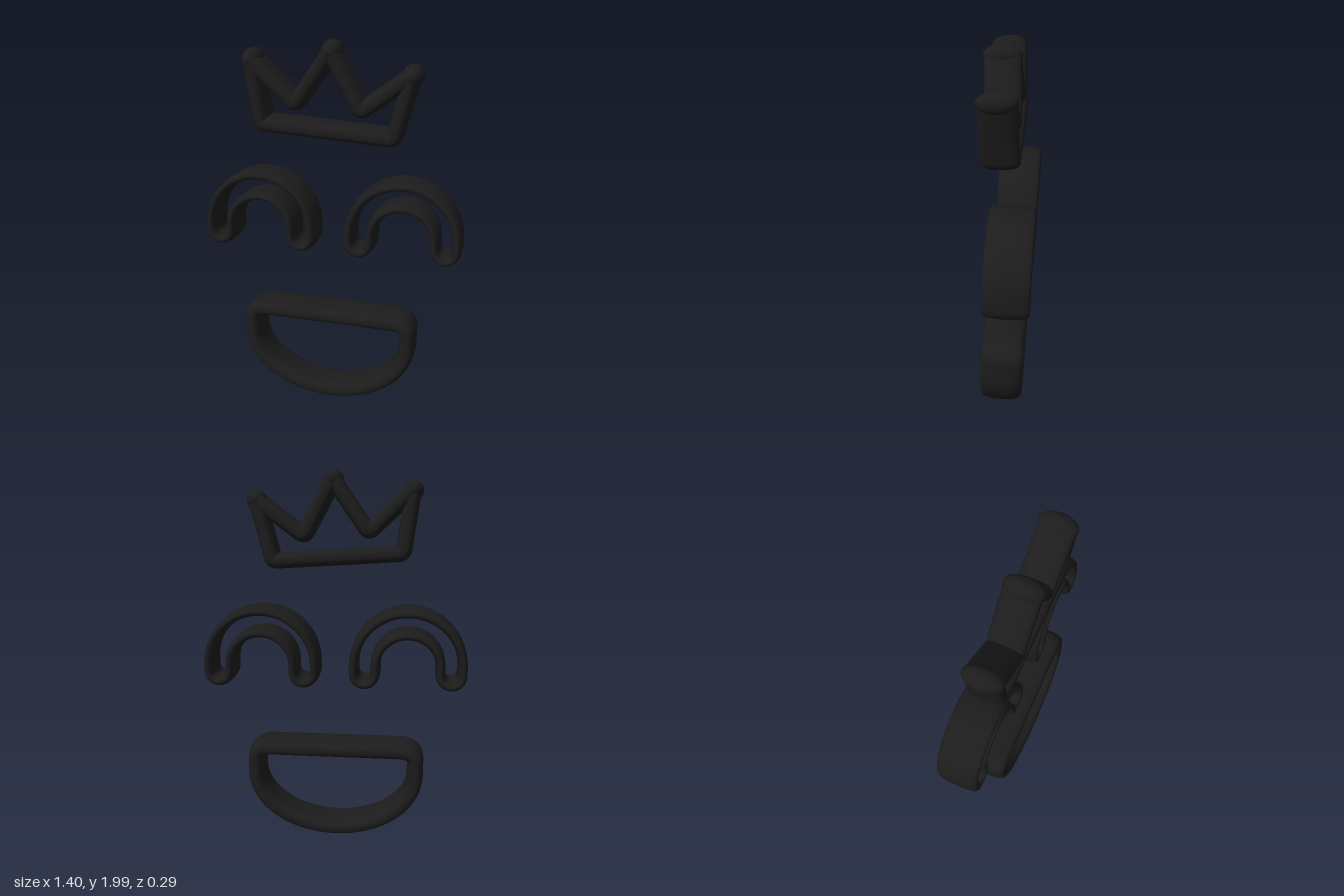
import * as THREE from 'three';

const black = new THREE.MeshStandardMaterial({ color: 0x1c1c1c });
black.name = 'matte black';

// Sweeps a rounded, deep cross-section along a closed path in the xy plane
function bandGeometry(path, halfThick, halfDepth, power = 2.7) {
  const pts = path.getPoints(20).filter((p, i, a) => i === 0 || p.distanceTo(a[i - 1]) > 1e-4);
  if (pts[0].distanceTo(pts[pts.length - 1]) < 1e-4) pts.pop();
  const n = pts.length, sides = 28, position = [], index = [];
  const round = (v) => Math.sign(v) * Math.abs(v) ** (2 / power);
  for (let i = 0; i < n; i++) {
    const before = pts[i].clone().sub(pts[(i + n - 1) % n]).normalize();
    const after = pts[(i + 1) % n].clone().sub(pts[i]).normalize();
    const t = before.add(after).normalize();
    for (let j = 0; j < sides; j++) {
      const a = (j / sides) * Math.PI * 2;
      const out = halfThick * round(Math.cos(a));
      position.push(pts[i].x + t.y * out, pts[i].y - t.x * out, halfDepth * round(Math.sin(a)));
      const k = (j + 1) % sides, next = (i + 1) % n;
      const p = i * sides + j, q = next * sides + j, r = next * sides + k, s = i * sides + k;
      index.push(p, q, r, p, r, s);
    }
  }
  const geometry = new THREE.BufferGeometry();
  geometry.setAttribute('position', new THREE.Float32BufferAttribute(position, 3));
  geometry.setIndex(index);
  geometry.computeVertexNormals();
  return geometry;
}

// Closed polygon with softened corners
function softPolygon(corners, soft) {
  const path = new THREE.Path();
  const c = corners.map(([x, y]) => new THREE.Vector2(x, y));
  c.forEach((p, i) => {
    const toward = (q) => q.clone().sub(p).setLength(soft).add(p);
    const a = toward(c[(i + c.length - 1) % c.length]), b = toward(c[(i + 1) % c.length]);
    if (i === 0) path.moveTo(a.x, a.y);
    else path.lineTo(a.x, a.y);
    path.quadraticCurveTo(p.x, p.y, b.x, b.y);
  });
  path.closePath();
  return path;
}

function addMesh(parent, name, geometry) {
  const mesh = new THREE.Mesh(geometry, black);
  mesh.name = name;
  parent.add(mesh);
  return mesh;
}

function addPart(parent, name, x, y, z, tilt) {
  const part = new THREE.Group();
  part.name = name;
  part.position.set(x, y, z);
  part.rotation.x = tilt;
  parent.add(part);
  return part;
}

export function createModel() {
  const model = new THREE.Group();
  model.name = 'smilingFace';

  // Crown: zigzag band with a bead on each tip
  const crownY = 1.74;
  const crown = addPart(model, 'crown', 0, crownY, 0.029, 0.035);
  const tips = [[0.412, 1.842], [0.013, 1.946], [-0.397, 1.892]];
  const outline = [
    [-0.352, 1.572], [0.33, 1.53], tips[0], [0.165, 1.66], tips[1], [-0.172, 1.68], tips[2],
  ].map(([x, y]) => [x, y - crownY]);
  addMesh(crown, 'crownBand', bandGeometry(softPolygon(outline, 0.025), 0.042, 0.091));
  for (const [x, y] of tips) {
    const bead = addMesh(crown, 'crownBead', new THREE.SphereGeometry(1, 32, 20));
    bead.scale.set(0.053, 0.053, 0.096);
    bead.position.set(x, y - crownY, 0);
  }

  // Eyes: two concentric arches joined by rounded feet
  const outer = 0.285, inner = 0.17, foot = (outer - inner) / 2, mid = (outer + inner) / 2;
  const arch = new THREE.Path();
  arch.absarc(0, 0, outer, 0, Math.PI, false);
  arch.absarc(-mid, -0.04, foot, Math.PI, Math.PI * 2, false);
  arch.absarc(0, 0, inner, Math.PI, 0, true);
  arch.absarc(mid, -0.04, foot, Math.PI, Math.PI * 2, false);
  arch.closePath();
  const eyeGeometry = bandGeometry(arch, 0.026, 0.112);
  for (const [name, side] of [['leftEye', 1], ['rightEye', -1]]) {
    const eye = addPart(model, name, side * 0.388, 0.995, -0.022, -0.035);
    addMesh(eye, 'eyeBand', eyeGeometry);
  }

  // Mouth: straight upper lip over a half-ellipse
  const mouth = addPart(model, 'mouth', 0, 0.285, 0.025, -0.037);
  const w = 0.44, top = 0.23, soft = 0.065;
  const smile = new THREE.Path();
  smile.absellipse(0, 0.085, w, 0.315, Math.PI, Math.PI * 2, false, 0);
  smile.lineTo(w, top - soft);
  smile.quadraticCurveTo(w, top, w - soft * 1.4, top);
  smile.lineTo(-w + soft * 1.4, top);
  smile.quadraticCurveTo(-w, top, -w, top - soft);
  smile.closePath();
  addMesh(mouth, 'mouthBand', bandGeometry(smile, 0.045, 0.11));

  return model;
}
